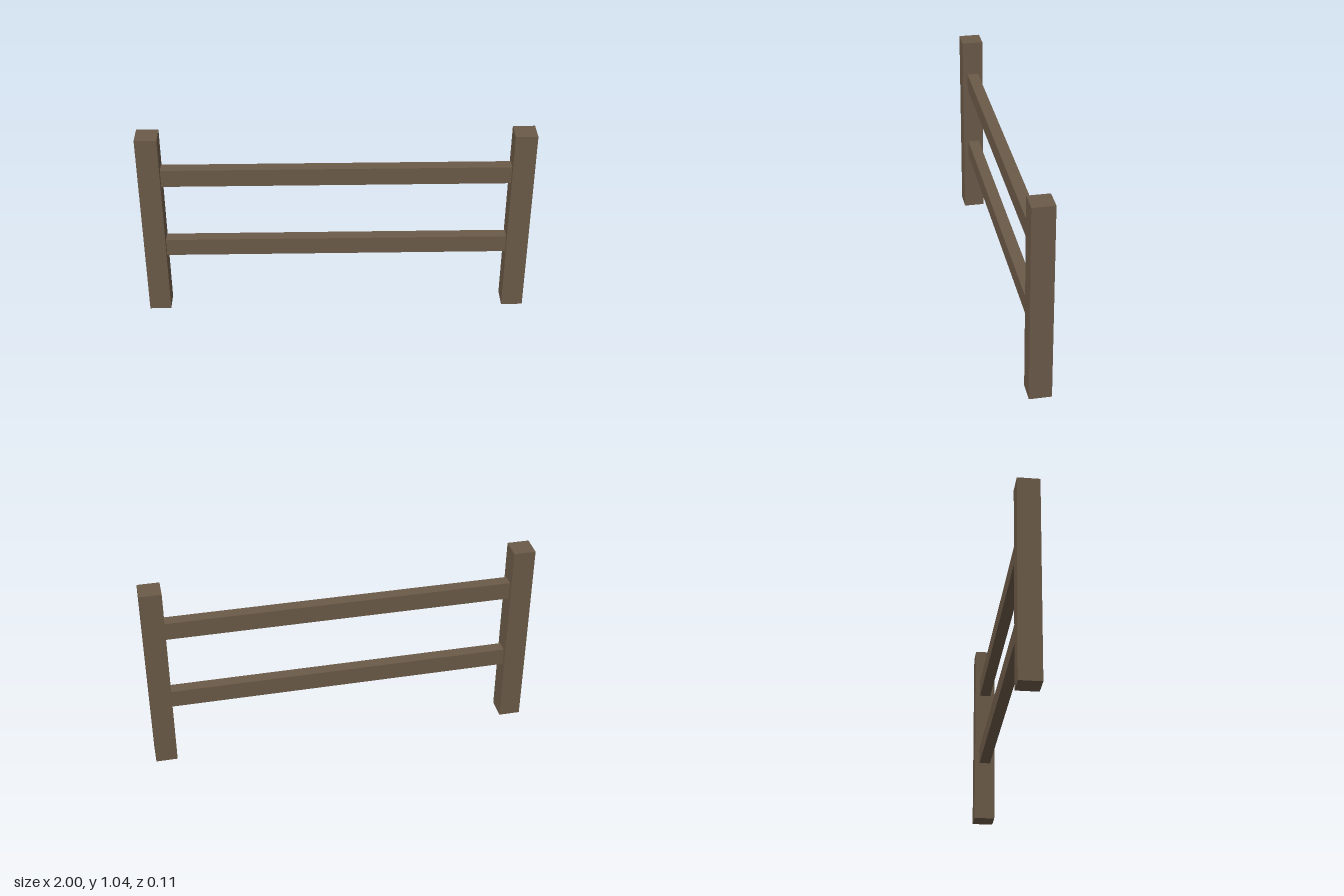
import * as THREE from 'three';

export function createModel() {
  const group = new THREE.Group();
  const wood = new THREE.MeshStandardMaterial({ color: 0x6b5a48 });

  const postHeight = 1.04;
  const postWidth = 0.112;
  const railLength = 2 - 2 * postWidth;

  const addBeam = (name, width, height, depth, x, y) => {
    const beam = new THREE.Mesh(new THREE.BoxGeometry(width, height, depth), wood);
    beam.name = name;
    beam.position.set(x, y, 0);
    group.add(beam);
  };

  // Square end posts
  for (const [name, side] of [['leftPost', 1], ['rightPost', -1]]) {
    addBeam(name, postWidth, postHeight, postWidth, side * (1 - postWidth / 2), postHeight / 2);
  }

  // Horizontal rails butting against the posts
  for (const [name, y] of [['lowerRail', 0.379], ['upperRail', 0.802]]) {
    addBeam(name, railLength, 0.095, 0.06, 0, y);
  }

  return group;
}
